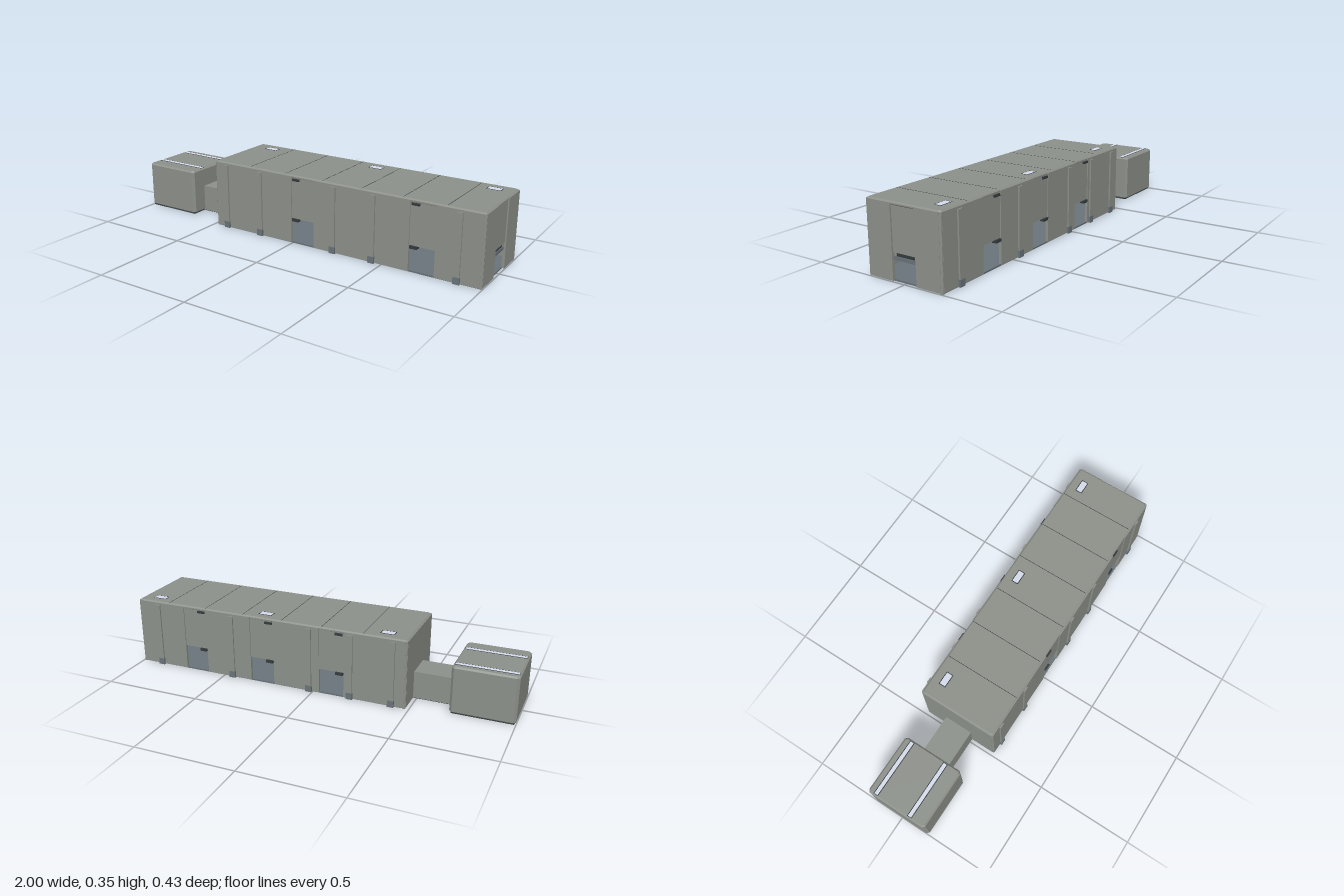
import * as THREE from 'three';

const material = (color) => new THREE.MeshStandardMaterial({ color, flatShading: true });

export function createModel() {
  const model = new THREE.Group();
  const body = material(0x8d918a);
  const floorGrey = material(0x6a747a);
  const dark = material(0x353b3e);
  const light = material(0xd6dcec);

  const add = (parent, name, geometry, mat) => {
    const mesh = new THREE.Mesh(geometry, mat);
    mesh.name = name;
    parent.add(mesh);
    return mesh;
  };
  // Box given by its limits on each axis
  const box = (parent, name, [x0, x1], [y0, y1], [z0, z1], mat) => {
    const g = new THREE.BoxGeometry(x1 - x0, y1 - y0, Math.abs(z1 - z0));
    g.translate((x0 + x1) / 2, (y0 + y1) / 2, (z0 + z1) / 2);
    return add(parent, name, g, mat);
  };
  // Box with every edge chamfered by c
  const chamferBox = (parent, name, [x0, x1], [y0, y1], [z0, z1], c, mat) => {
    const a = x0 + c, b = x1 - c, d = -z1 + c, e = -z0 - c;
    const shape = new THREE.Shape([
      [a + c, d], [b - c, d], [b, d + c], [b, e - c], [b - c, e], [a + c, e], [a, e - c], [a, d + c],
    ].map(([x, y]) => new THREE.Vector2(x, y)));
    const g = new THREE.ExtrudeGeometry(shape, {
      depth: y1 - y0 - 2 * c, bevelThickness: c, bevelSize: c, bevelSegments: 1,
    });
    g.rotateX(-Math.PI / 2).translate(0, y0 + c, 0);
    return add(parent, name, g, mat);
  };

  // Main hall: hollow, with doorways in both long sides and the far end
  const hall = new THREE.Group();
  hall.name = 'mainHall';
  model.add(hall);
  const X0 = -0.483, X1 = 0.998, Z = 0.205, TOP = 0.346, DOOR = 0.13, R = 0.01, T = 0.014;
  box(hall, 'floor', [X0 + 0.004, X1 - 0.012], [0, 0.008], [-Z + 0.004, Z - 0.004], floorGrey);
  chamferBox(hall, 'roof', [X0 + 0.003, X1 - 0.003], [0.334, 0.352], [-Z + 0.004, Z - 0.004], 0.006, body);

  // Faceted corner posts
  for (const x of [X0 + R, X1 - R]) for (const z of [-Z + R, Z - R]) {
    const g = new THREE.CylinderGeometry(R, R, TOP, 8);
    g.rotateY(Math.PI / 8).translate(x, TOP / 2, z);
    add(hall, 'cornerPost', g, body);
  }

  // Long side walls: flush panels between recessed door bays
  const sides = [
    { s: 1, doors: [-0.005, 0.64], pilasters: [-0.41, -0.197, 0.235, 0.45, 0.88] },
    { s: -1, doors: [-0.165, 0.212, 0.595], pilasters: [-0.41, -0.197, 0.02, 0.45, 0.88] },
  ];
  for (const { s, doors, pilasters } of sides) {
    const wall = new THREE.Group();
    wall.name = s > 0 ? 'frontWall' : 'backWall';
    hall.add(wall);
    let x = X0 + R;
    for (const d of doors) {
      box(wall, 'wallPanel', [x, d], [0.003, TOP], [s * Z, s * (Z - T)], body);
      x = d + 0.13;
      box(wall, 'doorBay', [d, x], [DOOR, TOP], [s * (Z - 0.005), s * (Z - T)], body);
      box(wall, 'doorLamp', [d + 0.007, d + 0.047], [0.325, 0.336], [s * (Z + 0.003), s * (Z - 0.006)], dark);
      box(wall, 'doorBracket', [d + 0.005, d + 0.042], [0.117, 0.131], [s * (Z + 0.004), s * (Z - 0.02)], dark);
    }
    box(wall, 'wallPanel', [x, X1 - R], [0.003, TOP], [s * Z, s * (Z - T)], body);
    for (const p of pilasters) {
      box(wall, 'pilaster', [p - 0.014, p + 0.014], [0, 0.336], [s * (Z + 0.008), s * (Z - 0.005)], body);
      box(wall, 'pilasterFoot', [p - 0.016, p + 0.016], [0, 0.034], [s * (Z + 0.01), s * (Z - 0.005)], floorGrey);
    }
  }

  // End walls, one solid and one with a doorway
  box(hall, 'innerEndWall', [X0, X0 + T], [0.003, TOP], [-Z + R, Z - R], body);
  for (const s of [-1, 1])
    box(hall, 'endPanel', [X1 - T, X1], [0.003, TOP], [s * 0.065, s * (Z - R)], body);
  box(hall, 'endDoorBay', [X1 - T, X1 - 0.007], [DOOR, TOP], [-0.065, 0.065], body);
  box(hall, 'endDoorBeam', [X1 - 0.03, X1 - 0.01], [0.095, 0.112], [-0.065, 0.065], floorGrey);
  box(hall, 'endDoorRoller', [X1 - 0.03, X1 - 0.014], [0.112, DOOR], [-0.05, 0.05], dark);
  for (const s of [-1, 1])
    box(hall, 'rollerBracket', [X1 - 0.03, X1 - 0.011], [0.112, DOOR], [s * 0.052, s * 0.062], body);

  // Roof seams and skylights
  for (let i = 0; i < 6; i++) {
    const x = -0.26 + i * 0.215;
    box(hall, 'roofSeam', [x - 0.0012, x + 0.0012], [0.35, 0.3525], [-0.194, 0.194], dark);
  }
  for (const x of [-0.367, 0.278, 0.9]) {
    box(hall, 'skylightFrame', [x - 0.036, x + 0.036], [0.35, 0.3525], [-0.157, -0.119], dark);
    box(hall, 'skylight', [x - 0.032, x + 0.032], [0.35, 0.3532], [-0.153, -0.123], light);
  }

  // Connecting corridor
  box(model, 'corridor', [-0.69, X0 + 0.004], [0.004, 0.143], [-0.077, 0.071], body);
  box(model, 'corridorBase', [-0.69, X0 + 0.004], [0, 0.005], [-0.073, 0.067], dark);

  // Small end block with two roof light strips
  const annex = new THREE.Group();
  annex.name = 'annex';
  model.add(annex);
  chamferBox(annex, 'annexBody', [-1, -0.684], [0.004, 0.244], [-0.165, 0.158], 0.008, body);
  box(annex, 'annexBase', [-0.992, -0.692], [0, 0.01], [-0.157, 0.15], dark);
  for (const z of [-0.122, 0.071]) {
    box(annex, 'lightStripFrame', [-0.992, -0.692], [0.24, 0.2446], [z - 0.013, z + 0.013], dark);
    box(annex, 'lightStrip', [-0.99, -0.694], [0.24, 0.2455], [z - 0.009, z + 0.009], light);
  }
  return model;
}
